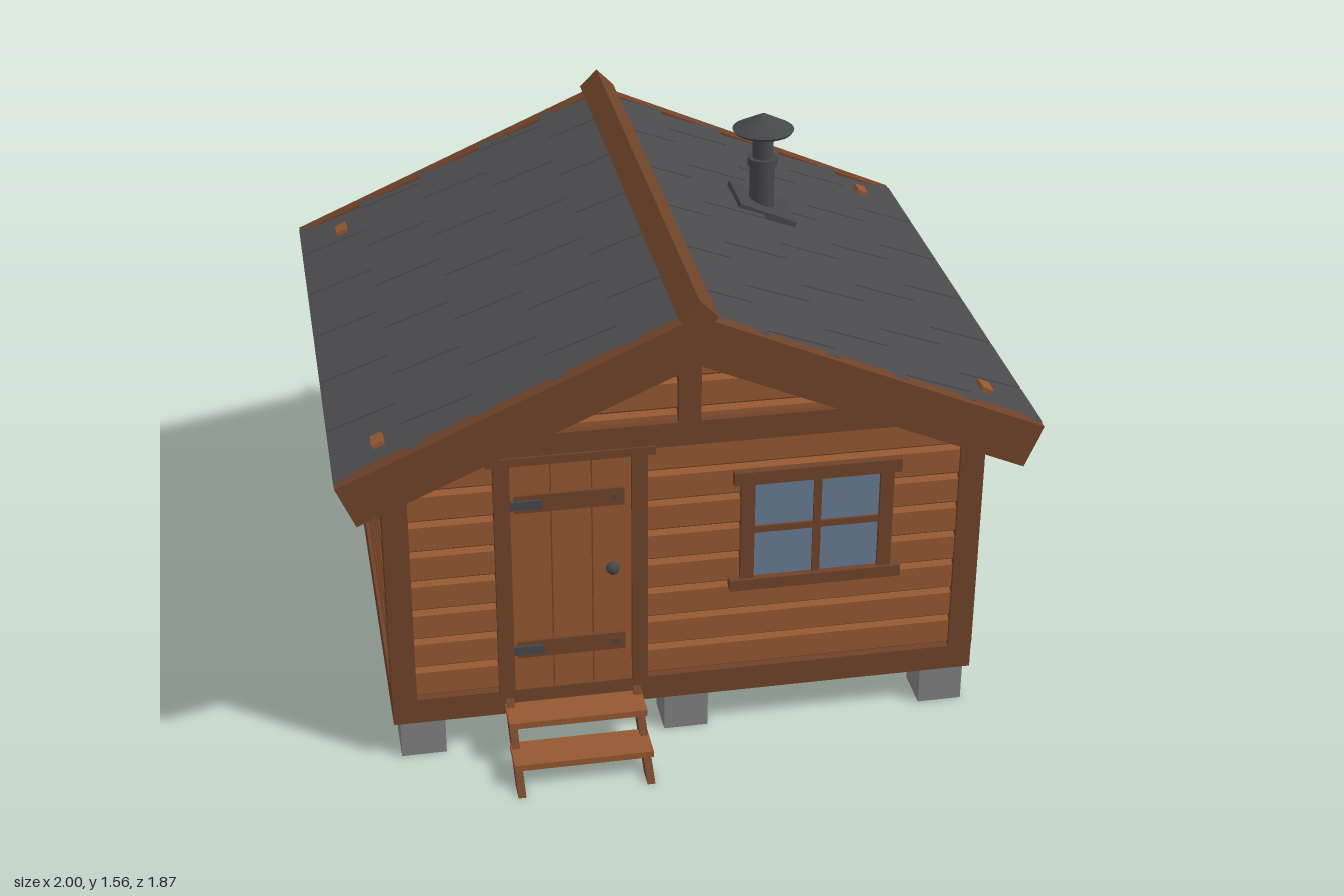
import * as THREE from 'three';

const mat = (name, color) => {
  const m = new THREE.MeshStandardMaterial({ color });
  m.name = name;
  return m;
};
const wood = mat('plank wood', 0x955831);
const trim = mat('trim wood', 0x6f4329);
const slate = mat('roof slate', 0x4b4b4e);
const metal = mat('dark metal', 0x46474b);
const stone = mat('stone', 0x808080);
const glass = mat('window glass', 0x687a94);

const add = (parent, name, geo, material) => {
  const mesh = new THREE.Mesh(geo, material);
  mesh.name = name;
  parent.add(mesh);
  return mesh;
};
const group = (parent, name) => {
  const g = new THREE.Group();
  g.name = name;
  parent.add(g);
  return g;
};
// box given by its extents
const box = (parent, name, m, x0, x1, y0, y1, z0, z1) => {
  const mesh = add(parent, name, new THREE.BoxGeometry(x1 - x0, y1 - y0, z1 - z0), m);
  mesh.position.set((x0 + x1) / 2, (y0 + y1) / 2, (z0 + z1) / 2);
  return mesh;
};
const extrude = (points, depth) => new THREE.ExtrudeGeometry(
  new THREE.Shape(points.map(p => new THREE.Vector2(...p))), { depth, bevelEnabled: false });

const W = 0.87, D = 0.745;               // half width and half depth of the walls
const RISE = 0.435, RIDGE = 1.435;       // roof pitch and apex
const SLOPE = Math.hypot(1, RISE);       // slope length over a half width of 1
const BOARD = 0.098;

// one horizontal siding board with chamfered edges, facing +z
function boardGeometry(length) {
  const h = BOARD;
  const geo = extrude([[-0.02, 0], [0, 0], [0.015, 0.012], [0.015, h - 0.012], [0, h], [-0.02, h]], length);
  geo.rotateY(-Math.PI / 2);
  geo.translate(length / 2, 0, 0);
  return geo;
}

function buildWalls(house) {
  const walls = group(house, 'walls');
  const core = extrude([[-0.845, 0.13], [0.845, 0.13], [0.845, 1.36 - RISE * 0.845], [0, 1.36],
    [-0.845, 1.36 - RISE * 0.845]], 1.44);
  core.translate(0, 0, -0.72);
  add(walls, 'wallCore', core, wood);
  box(walls, 'sillBeam', trim, -W, W, 0.12, 0.2, -D, D);

  for (let side = 0; side < 4; side++) {
    const face = group(walls, side % 2 ? 'sideWall' : 'gableWall');
    face.rotation.y = side * Math.PI / 2;
    const gable = side % 2 === 0;
    for (let i = 0; i < (gable ? 11 : 8); i++) {
      const y = 0.2 + BOARD * i;
      const half = gable ? Math.min(0.83, (1.36 - y - BOARD) / RISE) : 0.71;
      const plank = add(face, 'sidingBoard', boardGeometry(2 * half), wood);
      plank.position.set(0, y, gable ? 0.72 : 0.845);
    }
    if (gable) {
      box(face, 'tieBeam', trim, -0.79, 0.79, 0.98, 1.055, 0.7, 0.757);
      box(face, 'kingPost', trim, -0.032, 0.032, 1.055, 1.33, 0.7, 0.757);
    }
  }
  for (const sx of [-1, 1]) for (const sz of [-1, 1]) {
    const post = box(walls, 'cornerPost', trim, -0.036, 0.036, 0.2, 0.985, -0.036, 0.036);
    post.position.x = sx * (W - 0.035);
    post.position.z = sz * (D - 0.035);
  }
  for (const x of [-0.785, 0, 0.785]) for (const z of [-0.67, 0.67])
    box(house, 'foundationBlock', stone, x - 0.066, x + 0.066, 0, 0.12, z - 0.066, z + 0.066);
}

function buildRoof(house) {
  const roof = group(house, 'roof');
  for (const turn of [0, Math.PI]) {
    const half = group(roof, 'roofSide');
    half.rotation.y = turn;
    // local x runs down the slope, local y is the outward normal
    const slope = group(half, 'slope');
    slope.position.y = RIDGE;
    slope.rotation.z = -Math.atan(RISE);
    box(slope, 'roofDeck', slate, 0, SLOPE - 0.003, -0.065, -0.022, -0.825, 0.825);

    // mitred barge boards on both gables
    for (const z of [-0.865, 0.82]) {
      const geo = extrude([[0, 0], [0.135 * RISE, -0.135], [SLOPE, -0.135], [SLOPE, 0]], 0.045);
      geo.translate(0, 0, z);
      add(slope, 'bargeBoard', geo, trim);
    }
    // overlapping slates in staggered rows
    const row = SLOPE / 5;
    for (let r = 0; r < 5; r++) {
      const first = (r % 2 ? -0.1 : 0.047) - 4 * 0.295;
      for (let k = 0; k < 8; k++) {
        const z0 = Math.max(first + k * 0.295 + 0.004, -0.84);
        const z1 = Math.min(first + (k + 1) * 0.295 - 0.004, 0.84);
        if (z1 - z0 < 0.02) continue;
        const tile = box(slope, 'slate', slate, 0, row + 0.002, -0.01, 0.01, z0, z1);
        tile.position.x = SLOPE - row * (r + 0.5);
        tile.position.y = -0.014;
        tile.rotation.z = 0.06;
      }
    }
    // rafter tails below the eaves
    for (const z of [-0.535, -0.175, 0.185, 0.54])
      box(slope, 'rafterTail', trim, 0.8, 1.03, -0.115, -0.06, z - 0.021, z + 0.021);
    // pegs showing through near the corners
    for (const z of [-0.715, 0.705])
      box(slope, 'roofPeg', wood, 0.93, 0.965, -0.02, 0.007, z - 0.027, z + 0.027);
  }
  const ridge = box(roof, 'ridgeBeam', trim, -0.039, 0.039, -0.039, 0.039, -0.87, 0.87);
  ridge.position.y = 1.431;
  ridge.rotation.z = Math.PI / 4;
}

function buildChimney(house) {
  const chimney = group(house, 'chimney');
  chimney.position.set(0.415, 0, -0.22);
  const plate = box(chimney, 'flashing', metal, -0.098, 0.098, -0.012, 0.012, -0.092, 0.092);
  plate.position.y = RIDGE - RISE * 0.415;
  plate.rotation.z = -Math.atan(RISE);
  const pipe = (name, r0, r1, y0, y1) => {
    add(chimney, name, new THREE.CylinderGeometry(r1, r0, y1 - y0, 32), metal).position.y = (y0 + y1) / 2;
  };
  pipe('lowerPipe', 0.039, 0.039, 1.2, 1.395);
  pipe('collar', 0.047, 0.047, 1.393, 1.418);
  pipe('upperPipe', 0.032, 0.032, 1.41, 1.515);
  pipe('capRim', 0.09, 0.095, 1.503, 1.511);
  pipe('cap', 0.095, 0.008, 1.511, 1.558);
}

function buildDoor(house) {
  const door = group(house, 'door');
  for (let i = 0; i < 3; i++) {
    const x = -0.512 + i * 0.117;
    box(door, 'doorPlank', wood, x + 0.002, x + 0.115, 0.2, 0.96, 0.72, 0.742);
  }
  box(door, 'doorBacking', trim, -0.512, -0.161, 0.2, 0.96, 0.72, 0.738);
  for (const x of [-0.535, -0.142])
    box(door, 'doorJamb', trim, x - 0.023, x + 0.023, 0.2, 0.965, 0.72, 0.755);
  box(door, 'doorLintel', trim, -0.58, -0.097, 0.962, 0.988, 0.72, 0.762);
  for (const y of [0.342, 0.83]) {
    box(door, 'doorBatten', trim, -0.5, -0.185, y - 0.028, y + 0.028, 0.735, 0.75);
    box(door, 'hingeStrap', metal, -0.512, -0.422, y - 0.014, y + 0.014, 0.74, 0.757);
    box(door, 'battenBolt', metal, -0.222, -0.206, y - 0.008, y + 0.008, 0.74, 0.753);
  }
  const knob = add(door, 'doorKnob', new THREE.SphereGeometry(0.02, 20, 12), metal);
  knob.position.set(-0.22, 0.592, 0.75);
  knob.scale.z = 0.8;
}

function buildWindow(house) {
  const win = group(house, 'window');
  box(win, 'windowPane', glass, 0.18, 0.57, 0.51, 0.84, 0.732, 0.74);
  box(win, 'windowHead', trim, 0.13, 0.622, 0.832, 0.874, 0.72, 0.76);
  box(win, 'windowSill', trim, 0.122, 0.63, 0.48, 0.516, 0.72, 0.762);
  for (const x of [0.173, 0.582])
    box(win, 'windowJamb', trim, x - 0.02, x + 0.02, 0.516, 0.832, 0.72, 0.753);
  box(win, 'mullion', trim, 0.367, 0.39, 0.516, 0.832, 0.725, 0.748);
  box(win, 'transom', trim, 0.19, 0.565, 0.664, 0.685, 0.725, 0.747);
}

function buildSteps(root) {
  const steps = group(root, 'steps');
  for (const x of [-0.54, -0.163]) {
    // profile drawn in (-z, y), then turned to run along x
    const geo = extrude([[-0.932, 0], [-0.868, 0], [-0.67, 0.128], [-0.67, 0.18]], 0.023);
    geo.rotateY(Math.PI / 2);
    geo.translate(x, 0, 0);
    add(steps, 'stringer', geo, trim);
  }
  box(steps, 'lowerTread', wood, -0.543, -0.137, 0.064, 0.084, 0.775, 0.89);
  box(steps, 'upperTread', wood, -0.543, -0.137, 0.136, 0.156, 0.67, 0.785);
}

export function createModel() {
  const root = new THREE.Group();
  root.name = 'cabin';
  const house = group(root, 'house');
  house.position.z = -0.065;
  buildWalls(house);
  buildRoof(house);
  buildChimney(house);
  buildDoor(house);
  buildWindow(house);
  buildSteps(root);
  return root;
}
